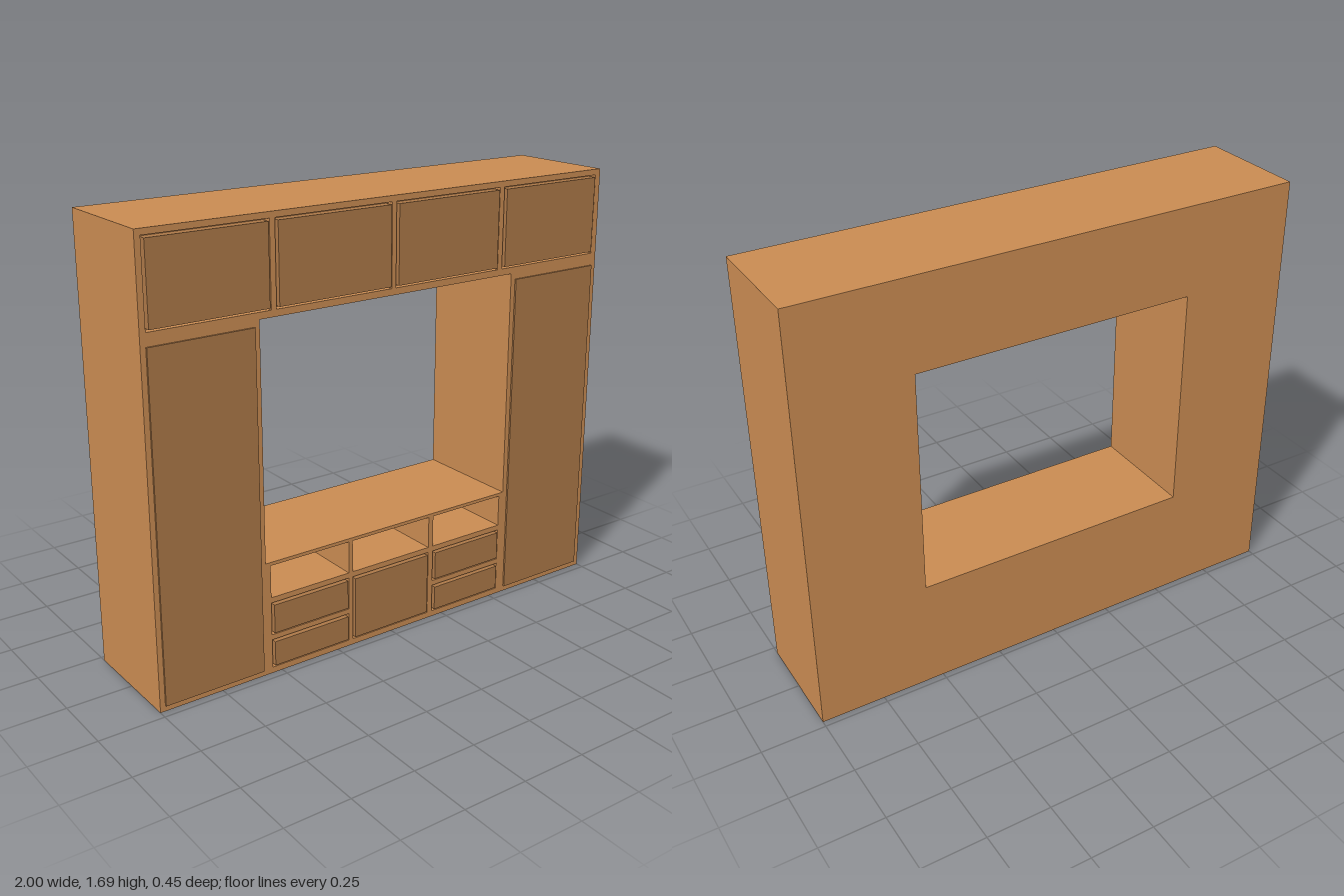
import * as THREE from 'three';
import { mergeGeometries } from 'three/addons/utils/BufferGeometryUtils.js';

const FRONT = 0.218, BACK = -0.225, DOOR_FRONT = 0.225;
const POCKET = 0.19, NICHE_BACK = -0.205, GAP = 0.008;

// Rectangles are [x0, y0, x1, y1]
const outer = [-1, 0, 1, 1.69];
const opening = [-0.56, 0.443, 0.556, 1.335];
const columns = [[-0.54, -0.2], [-0.182, 0.178], [0.2, 0.536]];
const niches = columns.map(([a, b]) => [a, 0.304, b, 0.43]);
const upperDoors = [[-0.978, -0.513], [-0.492, -0.01], [0.008, 0.486], [0.507, 0.976]]
  .map(([a, b]) => [a, 1.36, b, 1.668]);
const drawers = [columns[0], columns[2]].flatMap(([a, b]) => [[a, 0.023, b, 0.135], [a, 0.155, b, 0.283]]);
const centreDoor = [columns[1][0], 0.023, columns[1][1], 0.283];
const tallDoors = [[-0.98, 0.022, -0.58, 1.312], [0.576, 0.022, 0.976, 1.312]];

const corners = ([x0, y0, x1, y1]) => [[x0, y0], [x1, y0], [x1, y1], [x0, y1]];

function plain(geometry) {
  const g = geometry.index ? geometry.toNonIndexed() : geometry;
  g.deleteAttribute('uv');
  g.computeVertexNormals();
  return g;
}

// Flat rectangle with rectangular holes, facing +z
function face(rect, holes, z) {
  const points = r => corners(r).map(([x, y]) => new THREE.Vector2(x, y));
  const shape = new THREE.Shape(points(rect));
  for (const h of holes) shape.holes.push(new THREE.Path(points(h).reverse()));
  return plain(new THREE.ShapeGeometry(shape).translate(0, 0, z));
}

// Four walls around a rectangle, facing outward or inward
function walls(rect, z0, z1, inward) {
  const c = corners(rect);
  if (inward) c.reverse();
  const p = [];
  c.forEach((a, i) => {
    const b = c[(i + 1) % 4];
    p.push(...a, z0, ...b, z0, ...b, z1, ...a, z0, ...b, z1, ...a, z1);
  });
  const g = new THREE.BufferGeometry();
  g.setAttribute('position', new THREE.Float32BufferAttribute(p, 3));
  return plain(g);
}

const pocket = (rect, z) => [walls(rect, z, FRONT, true), face(rect, [], z)];

export function createModel() {
  const model = new THREE.Group();
  model.name = 'wallUnit';
  const wood = new THREE.MeshStandardMaterial({ color: 0xc98b52 });
  const doorWood = new THREE.MeshStandardMaterial({ color: 0xac7848 });

  // Carcass with the central opening, niches and door recesses
  const recessed = [...upperDoors, ...drawers, centreDoor];
  const back = face([-1, 0, 1, 1.69], [[-opening[2], opening[1], -opening[0], opening[3]]], 0);
  back.rotateY(Math.PI).translate(0, 0, BACK);
  const carcass = new THREE.Mesh(mergeGeometries([
    face(outer, [opening, ...niches, ...recessed], FRONT),
    back,
    walls(outer, BACK, FRONT, false),
    walls(opening, BACK, FRONT, true),
    ...niches.flatMap(r => pocket(r, NICHE_BACK)),
    ...recessed.flatMap(r => pocket(r, POCKET)),
  ]), wood);
  carcass.name = 'carcass';
  model.add(carcass);

  // Door and drawer fronts
  function addPanel(name, [x0, y0, x1, y1], gap, zBack) {
    const depth = DOOR_FRONT - zBack;
    const panel = new THREE.Mesh(
      new THREE.BoxGeometry(x1 - x0 - 2 * gap, y1 - y0 - 2 * gap, depth), doorWood);
    panel.position.set((x0 + x1) / 2, (y0 + y1) / 2, zBack + depth / 2);
    panel.name = name;
    model.add(panel);
  }
  upperDoors.forEach((r, i) => addPanel('upperDoor' + (i + 1), r, GAP, POCKET));
  drawers.forEach((r, i) => addPanel('drawerFront' + (i + 1), r, GAP, POCKET));
  addPanel('centreDoor', centreDoor, GAP, POCKET);
  tallDoors.forEach((r, i) => addPanel(i ? 'leftTallDoor' : 'rightTallDoor', r, 0, FRONT));

  return model;
}
